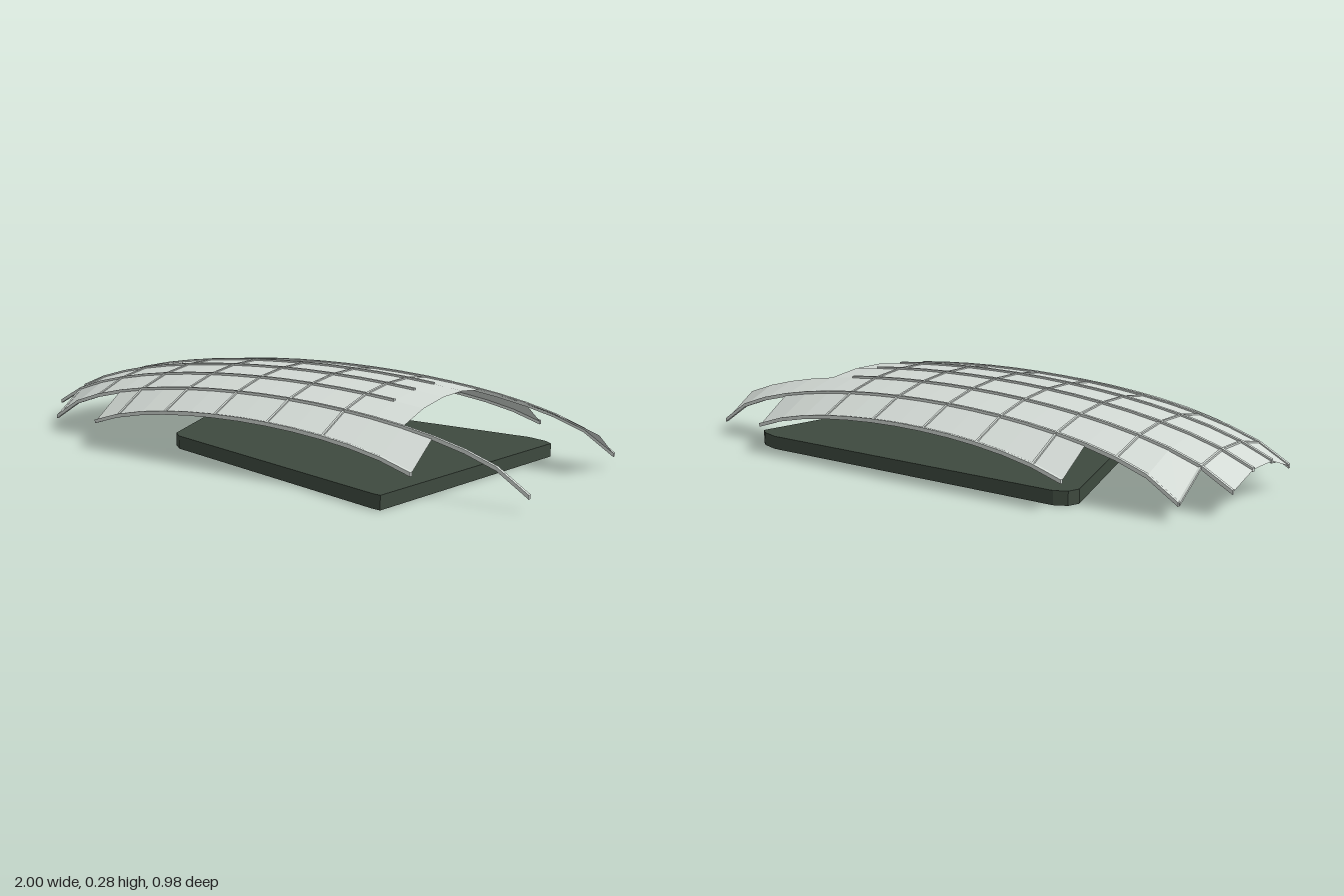
import * as THREE from 'three';

const CX = 0.05, CZ = -0.0475, BAY = 0.105, PITCH = 0.125;
const roofMat = new THREE.MeshStandardMaterial({ name: 'pale roof', color: 0xd3dad5, side: THREE.DoubleSide });
const slabMat = new THREE.MeshStandardMaterial({ name: 'dark green slab', color: 0x3e4a3f });

// Height of the ellipsoidal shell
function height(x, z) {
  const u = ((x - CX) / 1.16) ** 2 + ((z - CZ) / 0.566) ** 2;
  return 0.28 * Math.sqrt(Math.max(0, 1 - u));
}
const zLine = (i) => CZ + (i - 3.5) * PITCH;
const onShell = (x, z) => new THREE.Vector3(x, height(x, z), z);

// Evenly spaced points along one grid line
function linePoints(x0, x1, z) {
  const n = Math.round((x1 - x0) / BAY);
  return Array.from({ length: n + 1 }, (_, k) => onShell(x0 + ((x1 - x0) * k) / n, z));
}

// Faceted surface through rows of points, one flat normal per quad
function gridMesh(rows, name) {
  const pos = [], nor = [], index = [];
  for (let i = 0; i < rows.length - 1; i++) {
    for (let j = 0; j < rows[0].length - 1; j++) {
      const quad = [rows[i][j], rows[i + 1][j], rows[i + 1][j + 1], rows[i][j + 1]];
      const normal = quad[2].clone().sub(quad[0]).cross(quad[3].clone().sub(quad[1])).normalize();
      const v = pos.length / 3;
      for (const p of quad) {
        pos.push(...p.toArray());
        nor.push(...normal.toArray());
      }
      index.push(v, v + 1, v + 2, v, v + 2, v + 3);
    }
  }
  const geo = new THREE.BufferGeometry();
  geo.setAttribute('position', new THREE.Float32BufferAttribute(pos, 3));
  geo.setAttribute('normal', new THREE.Float32BufferAttribute(nor, 3));
  geo.setIndex(index);
  const mesh = new THREE.Mesh(geo, roofMat);
  mesh.name = name;
  return mesh;
}

// Closed rectangular bar swept along a path, pinched shut at both ends
function bar(path, side, halfWidth, top, bottom, name) {
  const profile = [[-1, top], [-1, bottom], [1, bottom], [1, top], [-1, top]];
  const rows = profile.map(([s, h]) => [
    path[0],
    ...path.map((p) => p.clone().addScaledVector(side, s * halfWidth).add(new THREE.Vector3(0, h, 0))),
    path[path.length - 1],
  ]);
  return gridMesh(rows, name);
}

export function createModel() {
  const model = new THREE.Group();
  model.name = 'gridShellCanopy';
  const xAxis = new THREE.Vector3(1, 0, 0), zAxis = new THREE.Vector3(0, 0, 1);

  // Roof strips from back to front, with their x limits
  const strips = [
    [-0.58, 0.68], [-0.895, 0.995], [-1, 0.575], [-1, 0.575],
    [-1, 0.575], [-0.895, 0.575], [-0.58, 0.68],
  ];
  const panels = new THREE.Group();
  panels.name = 'roofPanels';
  const crossRibs = new THREE.Group();
  crossRibs.name = 'crossRibs';
  strips.forEach(([x0, x1], i) => {
    const za = zLine(i), zb = zLine(i + 1);
    panels.add(gridMesh([linePoints(x0, x1, za), linePoints(x0, x1, zb)], 'panelStrip'));

    // Ribs across the strip at every second bay
    for (let k = -5; k <= 1; k++) {
      const x = CX + BAY * (2 * k + 1);
      if (x < x0 - 0.01) continue;
      crossRibs.add(bar([onShell(x, za), onShell(x, zb)], xAxis, 0.004, 0.004, -0.004, 'crossRib'));
    }
  });
  model.add(panels, crossRibs);

  // Long ribs along the strip edges
  const ribs = [
    [-0.58, 0.68], [-0.895, 0.998], [-1, 0.47], [-1, 0.47],
    [-1, 0.47], [-1, 0.47], [-0.895, 0.998], [-0.58, 0.68],
  ];
  const longRibs = new THREE.Group();
  longRibs.name = 'longRibs';
  ribs.forEach(([x0, x1], i) => {
    longRibs.add(bar(linePoints(x0, x1, zLine(i)), zAxis, 0.0055, 0.006, -0.007, 'longRib'));
  });
  model.add(longRibs);

  // Ground slab with clipped corners, outline given as x, z
  const outline = [
    [0.64, 0.492], [0.61, 0.488], [-0.33, 0.243], [-0.37, 0.21], [-0.573, -0.38],
    [-0.56, -0.42], [-0.52, -0.441], [0.66, -0.441], [0.73, -0.42], [0.762, -0.395],
  ];
  const shape = new THREE.Shape(outline.map(([x, z]) => new THREE.Vector2(x, -z)));
  const slabGeo = new THREE.ExtrudeGeometry(shape, { depth: 0.045, bevelEnabled: false });
  slabGeo.rotateX(-Math.PI / 2);
  const slab = new THREE.Mesh(slabGeo, slabMat);
  slab.name = 'groundSlab';
  model.add(slab);

  return model;
}
